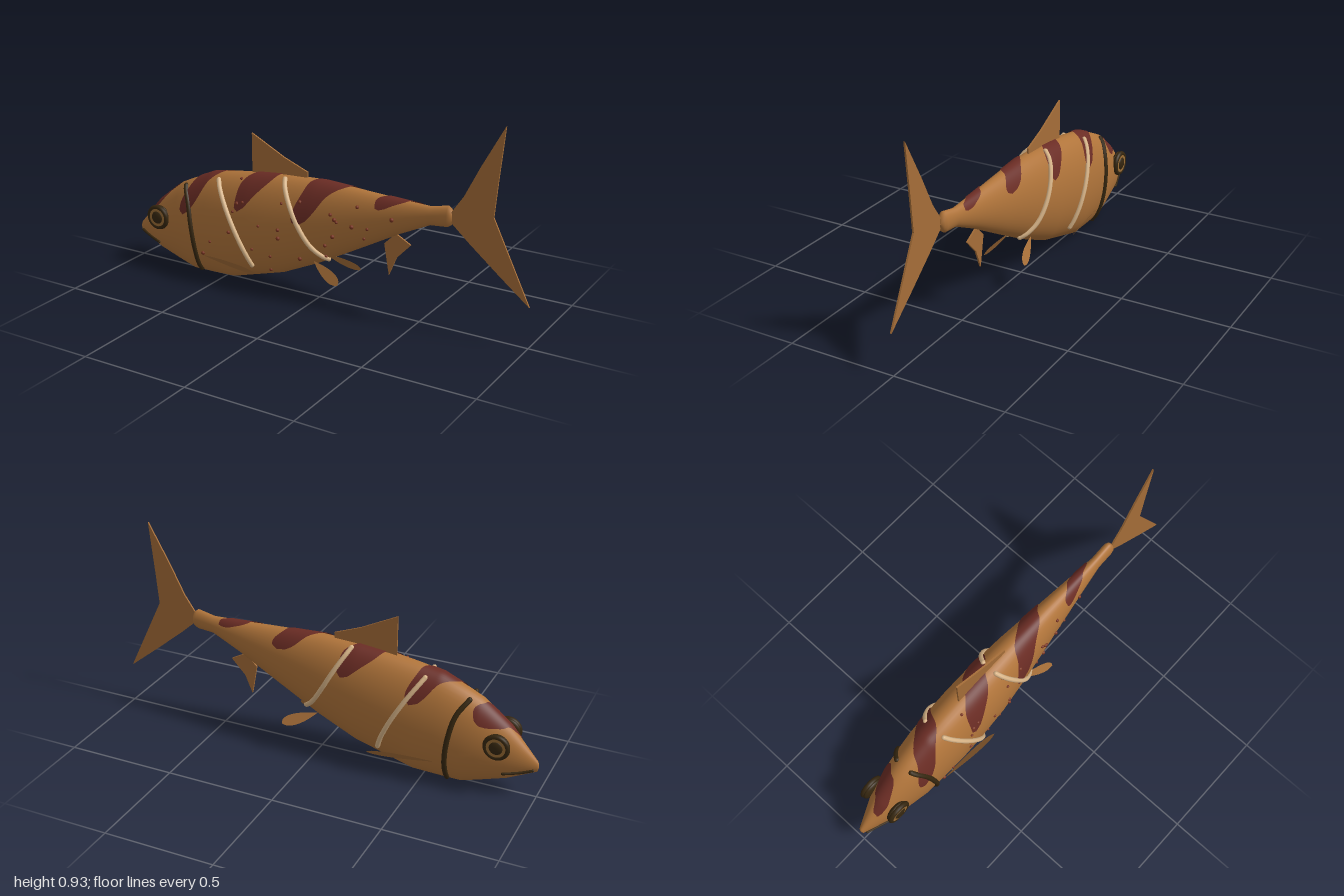
import * as THREE from 'three';

const mat = (name, color, side = THREE.FrontSide) => {
  const m = new THREE.MeshStandardMaterial({ color, side });
  m.name = name;
  return m;
};

// Body stations: x, top y, bottom y, half width
const STATIONS = [
  [-1.0, 0.155, 0.145, 0.002], [-0.995, 0.175, 0.128, 0.012], [-0.87, 0.315, 0.068, 0.062],
  [-0.74, 0.42, 0.025, 0.09], [-0.67, 0.452, 0.004, 0.102], [-0.56, 0.5, 0.006, 0.111],
  [-0.45, 0.52, 0.01, 0.116], [-0.33, 0.538, 0.045, 0.117], [-0.18, 0.553, 0.088, 0.112],
  [0.0, 0.561, 0.17, 0.094], [0.2, 0.552, 0.278, 0.068], [0.4, 0.542, 0.388, 0.042],
  [0.54, 0.538, 0.455, 0.024], [0.62, 0.556, 0.462, 0.024], [0.638, 0.54, 0.475, 0.02],
  [0.645, 0.51, 0.505, 0.002],
];

// Centre height, half height and half width of the body at x
function section(x) {
  let i = 0;
  while (i < STATIONS.length - 2 && x > STATIONS[i + 1][0]) i++;
  const a = STATIONS[i], b = STATIONS[i + 1];
  const t = THREE.MathUtils.clamp((x - a[0]) / (b[0] - a[0]), 0, 1);
  const [top, bottom, w] = [1, 2, 3].map((k) => a[k] + (b[k] - a[k]) * t);
  return { c: (top + bottom) / 2, h: (top - bottom) / 2, w };
}

// Point on the skin; angle runs from the back ridge towards +z
function skin(x, angle, lift = 0) {
  const { c, h, w } = section(x);
  return new THREE.Vector3(x, c + (h + lift) * Math.cos(angle), (w + lift) * Math.sin(angle));
}

// Point on the skin at a given x and y, on side s (+1 or -1)
function skinAt(x, y, s, lift = 0) {
  const { c, h } = section(x);
  return skin(x, s * Math.acos(THREE.MathUtils.clamp((y - c) / h, -1, 1)), lift);
}

// Surface over a grid of points; rows run along x, columns around the body
function grid(rows, cols, closed, point) {
  const pos = [], index = [];
  for (let i = 0; i < rows; i++) for (let j = 0; j < cols; j++) pos.push(...point(i, j).toArray());
  for (let i = 0; i < rows - 1; i++) {
    for (let j = 0; j < (closed ? cols : cols - 1); j++) {
      const a = i * cols + j, n = i * cols + ((j + 1) % cols);
      index.push(a, n, a + cols, n, n + cols, a + cols);
    }
  }
  const g = new THREE.BufferGeometry();
  g.setAttribute('position', new THREE.Float32BufferAttribute(pos, 3));
  g.setIndex(index);
  g.computeVertexNormals();
  return g;
}

export function createModel() {
  const fish = new THREE.Group();
  fish.name = 'fish';
  const bodyMat = mat('copper skin', 0xb0743a);
  const finMat = mat('fin brown', 0xa66e38, THREE.DoubleSide);
  const patchMat = mat('maroon patch', 0x6a2c24, THREE.DoubleSide);
  const spotMat = mat('rust spot', 0x7a3420);
  const bandMat = mat('pale band', 0xd9b588);
  const darkMat = mat('dark brown', 0x35260f);
  const irisMat = mat('iris', 0x9a6c34);

  const add = (name, geometry, material) => {
    const m = new THREE.Mesh(geometry, material);
    m.name = name;
    fish.add(m);
    return m;
  };

  // Body
  const around = 48;
  add('body', grid(STATIONS.length, around, true,
    (i, j) => skin(STATIONS[i][0], (j / around) * Math.PI * 2)), bodyMat);

  // Slanting patches over the back: centre x, half width, end angles on -z and +z, slant
  const patches = [
    [-0.83, 0.065, -1.0, 0.75, 0.08], [-0.56, 0.065, -1.15, 1.25, 0.095],
    [-0.245, 0.07, -1.15, 1.2, 0.1], [0.085, 0.075, -1.1, 1.5, 0.095], [0.4, 0.06, -1.1, 1.1, 0.075],
  ];
  patches.forEach(([xc, half, a0, a1, slant]) => {
    const rows = 17, cols = 33;
    add('backPatch', grid(rows, cols, false, (i, j) => {
      const t = j / (cols - 1), angle = a0 + (a1 - a0) * t;
      const width = half * Math.pow(Math.sin(Math.PI * t), 0.4) * (1 + 0.1 * Math.sin(t * 14 + xc * 9));
      return skin(xc - slant * angle + width * ((2 * i) / (rows - 1) - 1), angle, 0.004);
    }), patchMat);
  });

  // Raised lines that follow the skin on both sides
  const line = (name, points, radius, material, lift = 0.004) => {
    const flat = new THREE.CatmullRomCurve3(points.map(([x, y]) => new THREE.Vector3(x, y, 0)));
    for (const s of [1, -1]) {
      const path = new THREE.CatmullRomCurve3(flat.getPoints(16).map((p) => skinAt(p.x, p.y, s, lift)));
      add(name, new THREE.TubeGeometry(path, 40, radius, 8), material);
      for (const t of [0, 1]) {
        add(name + 'End', new THREE.SphereGeometry(radius, 8, 6), material).position.copy(path.getPoint(t));
      }
    }
  };
  line('frontBand', [[-0.5, 0.483], [-0.44, 0.395], [-0.37, 0.275], [-0.325, 0.18], [-0.305, 0.125]], 0.011, bandMat);
  line('rearBand', [[-0.155, 0.542], [-0.1, 0.45], [-0.04, 0.345], [0.01, 0.27], [0.065, 0.215]], 0.011, bandMat);
  line('gillLine', [[-0.695, 0.42], [-0.655, 0.36], [-0.628, 0.25], [-0.615, 0.13], [-0.615, 0.03]], 0.012, darkMat, 0.001);
  line('mouth', [[-0.98, 0.14], [-0.93, 0.125], [-0.86, 0.113]], 0.006, darkMat);

  // Eyes
  for (const s of [1, -1]) {
    const eye = new THREE.Group();
    eye.name = s > 0 ? 'leftEye' : 'rightEye';
    eye.position.set(-0.835, 0.25, s * 0.072);
    if (s < 0) eye.rotation.y = Math.PI;
    const part = (name, geometry, material, z) => {
      const m = new THREE.Mesh(geometry, material);
      m.name = name;
      m.position.z = z;
      eye.add(m);
    };
    part('eyeball', new THREE.SphereGeometry(0.056, 32, 16).scale(1, 1, 0.35), darkMat, 0);
    part('eyeRim', new THREE.TorusGeometry(0.048, 0.012, 10, 36), darkMat, 0.012);
    part('iris', new THREE.CylinderGeometry(0.043, 0.043, 0.02, 32).rotateX(Math.PI / 2), irisMat, 0.012);
    part('pupil', new THREE.SphereGeometry(0.031, 24, 12).scale(1, 1, 0.35), darkMat, 0.019);
    fish.add(eye);
  }

  // Upright fins on the centre line
  const uprightFin = (name, points, z = 0) => {
    const shape = new THREE.Shape(points.map(([x, y]) => new THREE.Vector2(x, y)));
    const g = new THREE.ExtrudeGeometry(shape, { depth: 0.008, bevelEnabled: false });
    add(name, g.translate(0, 0, z - 0.004), finMat);
  };
  uprightFin('dorsalFin', [[-0.35, 0.52], [-0.06, 0.55], [-0.06, 0.583], [-0.18, 0.63], [-0.35, 0.716]]);
  uprightFin('analFin', [[0.325, 0.33], [0.35, 0.19], [0.385, 0.275], [0.452, 0.346], [0.38, 0.385]]);
  uprightFin('tailFin', [[0.635, 0.49], [0.72, 0.415], [0.86, 0.3], [0.998, 0.19], [0.92, 0.35], [0.825, 0.545],
    [0.838, 0.7], [0.86, 0.933], [0.76, 0.75], [0.69, 0.61], [0.635, 0.53]], 0.006);

  // Paired leaf fins: root, tip and width direction on the +z side
  const leafFin = (name, root, tip, across) => {
    const leaf = new THREE.Shape();
    leaf.moveTo(0, 0);
    leaf.bezierCurveTo(0.35, 0.45, 0.85, 0.75, 1, 0.1);
    leaf.bezierCurveTo(0.95, -0.6, 0.5, -0.5, 0, 0);
    for (const s of [1, -1]) {
      const [r, t, a] = [root, tip, across].map(([x, y, z]) => new THREE.Vector3(x, y, z * s));
      const u = t.clone().sub(r);
      const frame = new THREE.Matrix4().makeBasis(u, a, u.clone().cross(a).normalize()).setPosition(r);
      add(name, new THREE.ShapeGeometry(leaf, 12).applyMatrix4(frame), finMat);
    }
  };
  leafFin('pectoralFin', [-0.57, 0.12, 0.1], [-0.265, 0.1, 0.118], [0, 0.05, 0.04]);
  leafFin('pelvicFin', [0.0, 0.195, 0.05], [0.155, 0.135, 0.1], [-0.03, -0.045, 0.02]);

  // Small spots on the left flank
  const spots = [
    [-0.38, 0.51], [-0.34, 0.42], [-0.37, 0.41], [-0.39, 0.37], [-0.15, 0.33], [-0.15, 0.29], [-0.14, 0.45],
    [0.1, 0.44], [0.12, 0.42], [0.13, 0.41], [0.07, 0.29], [0.2, 0.4], [0.27, 0.4], [0.22, 0.49], [0.38, 0.46],
    [-0.2, 0.19], [-0.22, 0.11], [-0.57, 0.13], [-0.52, 0.2], [-0.41, 0.27], [-0.06, 0.2], [-0.29, 0.21],
    [0.06, 0.23], [0.11, 0.34], [0.25, 0.35], [-0.14, 0.51], [-0.05, 0.47], [-0.25, 0.33],
  ];
  spots.forEach(([x, y], i) => {
    add('spot', new THREE.SphereGeometry(0.007 + 0.0015 * (i % 3), 8, 6), spotMat).position.copy(skinAt(x, y, 1));
  });

  return fish;
}
